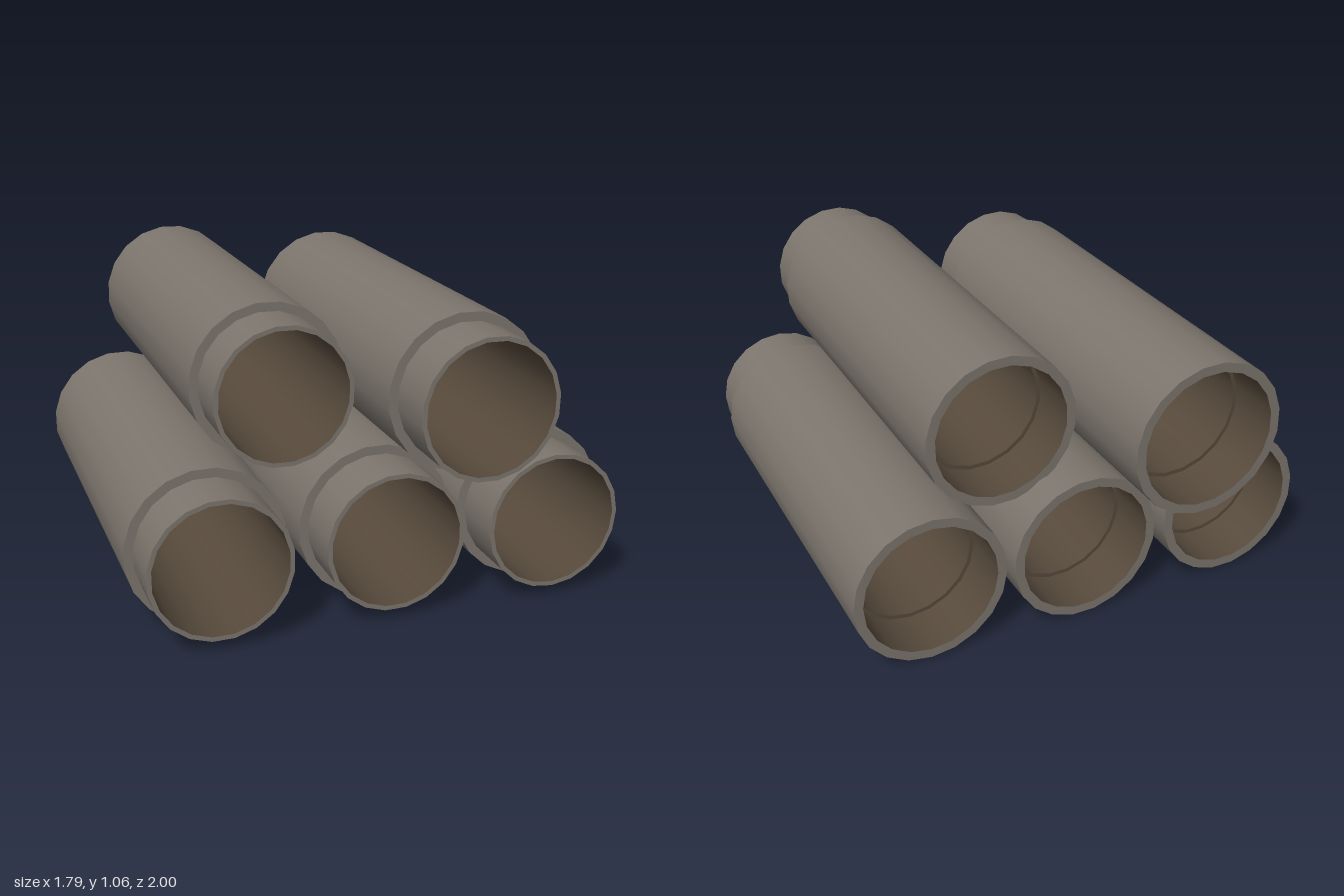
import * as THREE from 'three';
import { mergeGeometries } from 'three/addons/utils/BufferGeometryUtils.js';

const SIDES = 20;
const BODY = 1.45, LENGTH = 1.65, SOCKET = 0.2;
const OUTER = 0.287, SPIGOT = 0.2535, BORE = 0.237, BELL = 0.252;

// Revolves each profile segment on its own so the edges between them stay sharp
function revolve(profile) {
  const pieces = [];
  for (let i = 0; i < profile.length - 1; i++) {
    const points = [profile[i], profile[i + 1]].map(([r, z]) => new THREE.Vector2(r, z));
    pieces.push(new THREE.LatheGeometry(points, SIDES));
  }
  return mergeGeometries(pieces).rotateX(Math.PI / 2);
}

export function createModel() {
  const concrete = new THREE.MeshStandardMaterial({ color: 0x7c756d });
  concrete.name = 'concrete grey';
  const inside = new THREE.MeshStandardMaterial({ color: 0x574a3c });
  inside.name = 'dark brown lining';

  // Outer shell: back rim, body, shoulder, narrow front end, front rim
  const shell = revolve([
    [BELL, 0], [OUTER, 0], [OUTER, BODY], [SPIGOT, BODY], [SPIGOT, LENGTH], [BORE, LENGTH],
  ]);
  // Inner wall with the wider socket at the back
  const lining = revolve([
    [BORE, LENGTH], [BORE, SOCKET], [BELL, SOCKET], [BELL, 0],
  ]);

  // Name, centre x, centre y, back end z, roll about the axis
  const pipes = [
    ['lowerRightPipe', -0.615, 0.29, -0.755, 0.16],
    ['lowerMiddlePipe', 0.01, 0.29, -0.77, 0.16],
    ['lowerLeftPipe', 0.607, 0.29, -0.755, 0.03],
    ['upperRightPipe', -0.315, 0.777, -1, 0.13],
    ['upperLeftPipe', 0.288, 0.777, -0.65, 0.13],
  ];

  const model = new THREE.Group();
  model.name = 'pipeStack';
  for (const [name, x, y, z, roll] of pipes) {
    const pipe = new THREE.Group();
    pipe.name = name;
    const outer = new THREE.Mesh(shell, concrete);
    outer.name = 'pipeShell';
    const inner = new THREE.Mesh(lining, inside);
    inner.name = 'pipeLining';
    pipe.add(outer, inner);
    pipe.position.set(x, y, z);
    pipe.rotation.z = roll;
    model.add(pipe);
  }
  return model;
}
